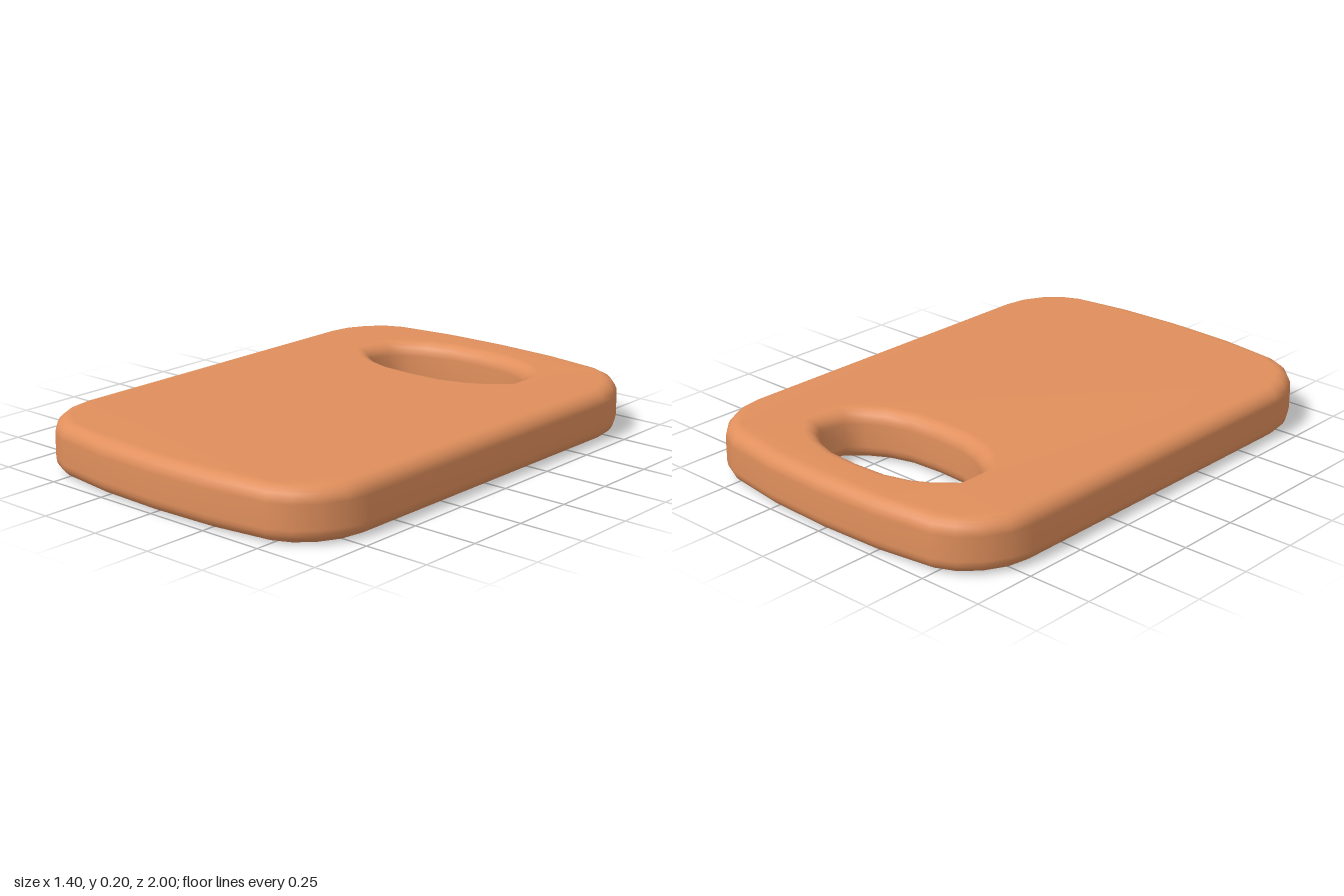
import * as THREE from 'three';
import { mergeVertices } from 'three/addons/utils/BufferGeometryUtils.js';

// Mirror a quarter outline (from +x side to the +y end) into a full closed loop.
function mirroredLoop(quarter, cy = 0) {
  const flip = (sx, sy) => quarter.map(([x, y]) => new THREE.Vector2(x * sx, y * sy + cy));
  const loop = [
    ...flip(1, 1), ...flip(-1, 1).reverse(),
    ...flip(-1, -1), ...flip(1, -1).reverse(),
  ];
  // drop points doubled on the mirror axes
  return loop.filter((p, i) => p.distanceTo(loop[(i + 1) % loop.length]) > 1e-4);
}

export function createModel() {
  const model = new THREE.Group();
  model.name = 'cuttingBoard';

  const wood = new THREE.MeshStandardMaterial({ color: 0xe08f5c });
  wood.name = 'warm wood';

  // Board outline: straight sides, rounded corners, gently bowed ends
  const outline = mirroredLoop([
    [0.7, 0.68], [0.685, 0.77], [0.64, 0.855], [0.575, 0.92],
    [0.495, 0.957], [0.26, 0.99], [0, 1],
  ]);
  // Oval hand hole near the back
  const hole = mirroredLoop([
    [0.348, 0.06], [0.29, 0.112], [0.225, 0.15], [0.13, 0.178], [0, 0.185],
  ], 0.61);

  const shape = new THREE.Shape(outline);
  shape.holes.push(new THREE.Path(hole));

  // Slab with rounded rims on the outside and around the hole
  const rim = 0.055;
  const slab = new THREE.ExtrudeGeometry(shape, {
    depth: 0.2 - 2 * rim, bevelEnabled: true, bevelThickness: rim,
    bevelSize: rim, bevelOffset: -rim, bevelSegments: 5,
  });
  slab.rotateX(-Math.PI / 2).translate(0, rim, 0);

  // Weld the faces so the whole surface shades smoothly
  slab.deleteAttribute('normal');
  slab.deleteAttribute('uv');
  slab.clearGroups();
  const geometry = mergeVertices(slab, 1e-4);
  geometry.computeVertexNormals();

  const board = new THREE.Mesh(geometry, wood);
  board.name = 'board';
  model.add(board);
  return model;
}
